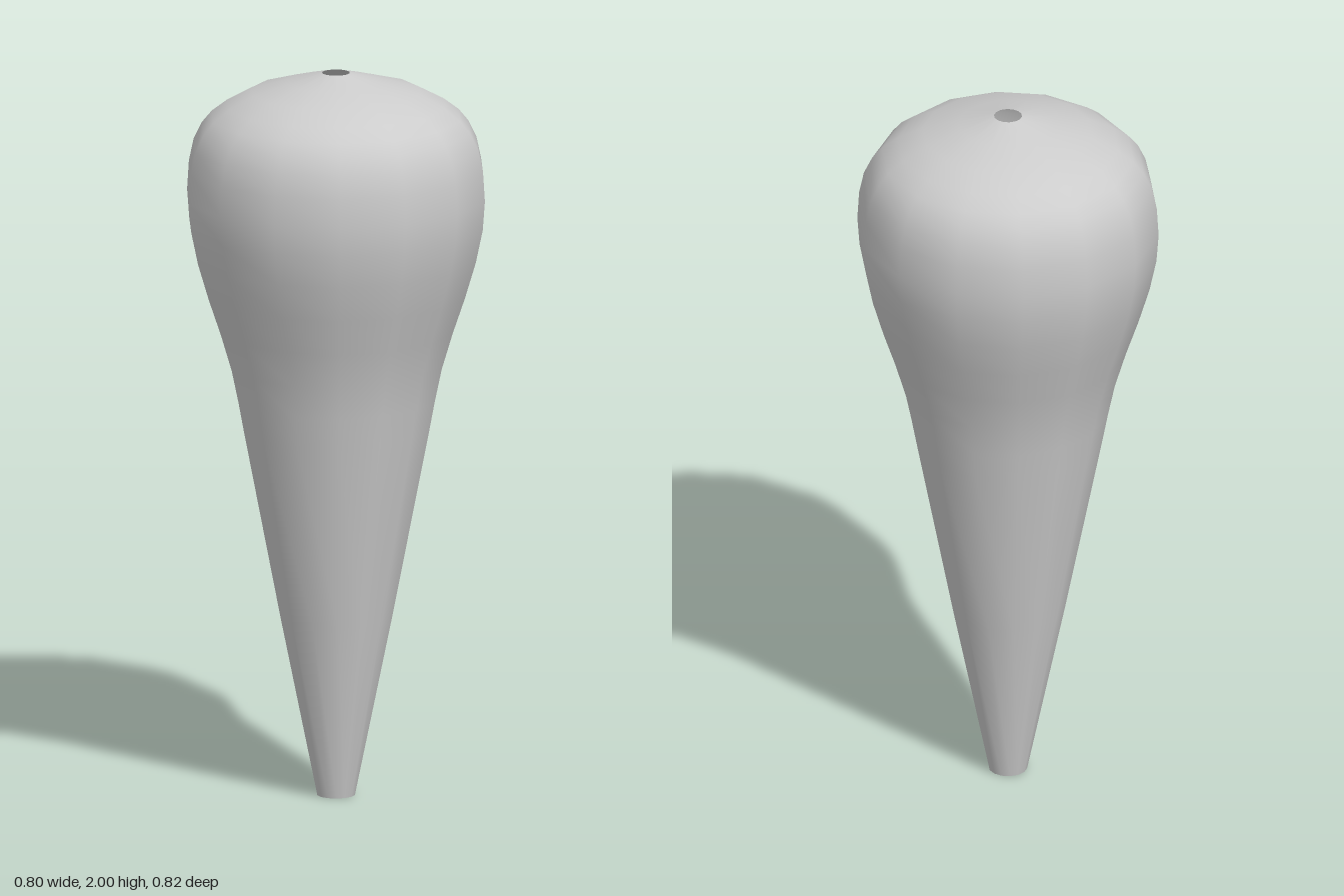
import * as THREE from 'three';

export function createModel() {
  const group = new THREE.Group();
  group.name = 'taperedHandle';

  // Profile from the open narrow end, up the cone, around the bulb to the top hole: [radius, y]
  const profile = [
    [0.052, 0], [0.155, 0.5], [0.257, 1.02], [0.272, 1.1], [0.291, 1.19],
    [0.321, 1.29], [0.355, 1.39], [0.385, 1.49], [0.404, 1.58], [0.41, 1.66],
    [0.405, 1.74], [0.392, 1.8], [0.37, 1.846], [0.342, 1.88], [0.3, 1.912],
    [0.232, 1.948], [0.135, 1.975], [0.038, 2],
  ].map(([r, y]) => new THREE.Vector2(r, y));

  // Fourteen-sided hollow shell, smooth shaded, open at both ends
  const shell = new THREE.Mesh(
    new THREE.LatheGeometry(profile, 14),
    new THREE.MeshStandardMaterial({ color: 0xcccccc, side: THREE.DoubleSide })
  );
  shell.name = 'handleShell';
  group.add(shell);

  return group;
}
